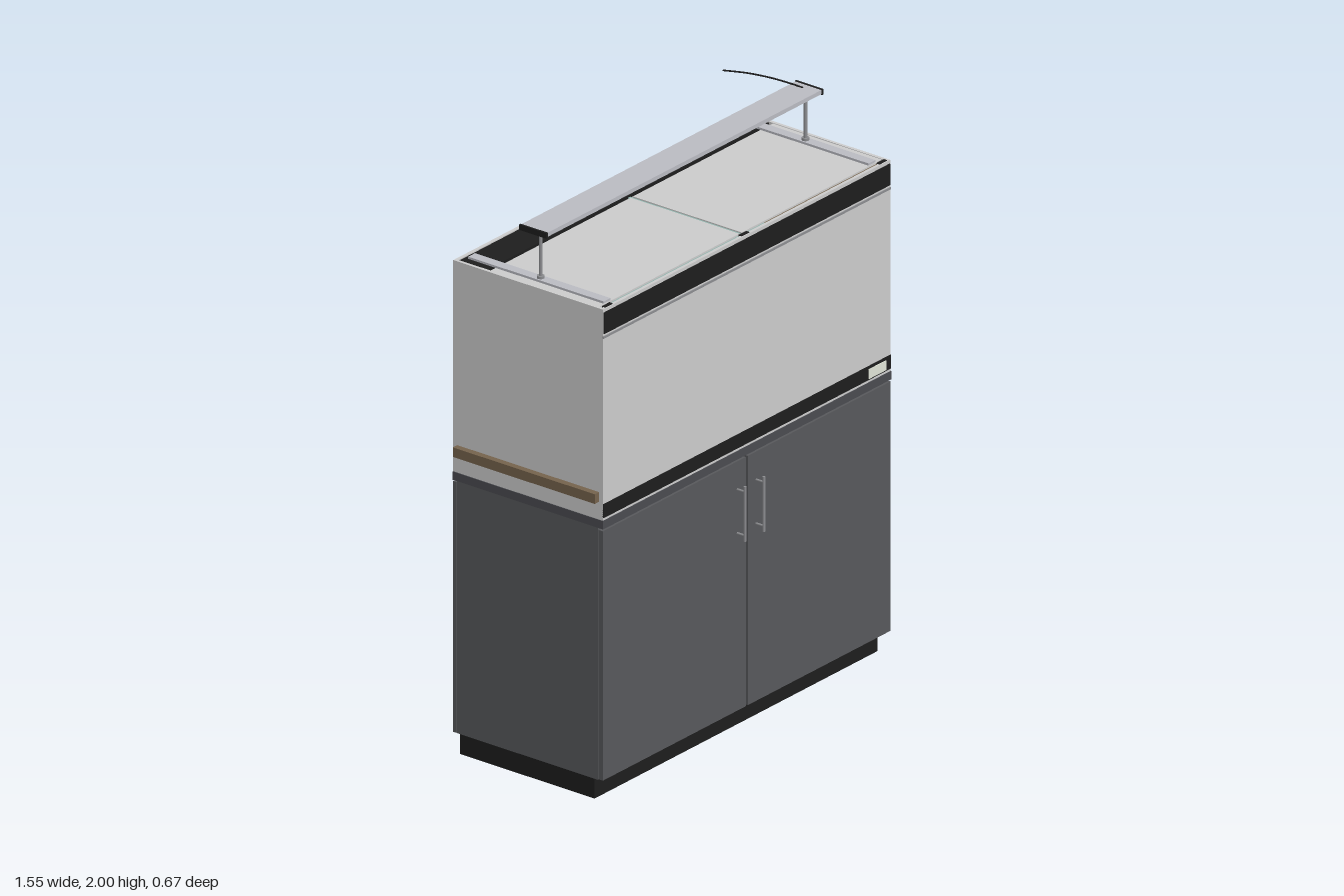
import * as THREE from 'three';

const mat = (color) => new THREE.MeshStandardMaterial({ color });
const M = {
  grey: mat(0xcccccc), cabinet: mat(0x57585b), edge: mat(0x4a4b50), black: mat(0x1d1d1d),
  metal: mat(0xbabbc2), steel: mat(0x8c8d90), wood: mat(0x75634c), seal: mat(0x8fb3ac),
  label: mat(0xdfe3d6), sand: mat(0xb9ad95),
};

export function createModel() {
  const root = new THREE.Group();

  // Box given by its limits on each axis
  const box = (name, m, x0, x1, y0, y1, z0, z1, parent = root) => {
    const mesh = new THREE.Mesh(new THREE.BoxGeometry(x1 - x0, y1 - y0, z1 - z0), m);
    mesh.position.set((x0 + x1) / 2, (y0 + y1) / 2, (z0 + z1) / 2);
    mesh.name = name;
    parent.add(mesh);
    return mesh;
  };
  const rod = (name, m, r, length, x, y, z, parent = root) => {
    const mesh = new THREE.Mesh(new THREE.CylinderGeometry(r, r, length, 12), m);
    mesh.position.set(x, y, z);
    mesh.name = name;
    parent.add(mesh);
    return mesh;
  };
  const group = (name) => {
    const g = new THREE.Group();
    g.name = name;
    root.add(g);
    return g;
  };

  // Cabinet with recessed plinth, two doors and a worktop
  const cabinet = group('cabinet');
  box('plinth', M.black, -0.745, 0.76, 0, 0.08, -0.315, 0.255, cabinet);
  box('carcass', M.cabinet, -0.758, 0.773, 0.08, 1.0, -0.318, 0.28, cabinet);
  box('backPanel', M.cabinet, -0.758, 0.773, 0.08, 0.995, -0.335, -0.321, cabinet);
  box('doorRight', M.cabinet, -0.758, 0.002, 0.083, 0.992, 0.283, 0.301, cabinet);
  box('doorLeft', M.cabinet, 0.013, 0.773, 0.083, 0.992, 0.283, 0.301, cabinet);
  box('doorGap', M.black, 0.002, 0.013, 0.083, 0.992, 0.279, 0.283, cabinet);
  box('worktop', M.edge, -0.76, 0.775, 1.0, 1.03, -0.336, 0.303, cabinet);

  // Bar handles on two standoffs
  for (const x of [-0.043, 0.057]) {
    const handle = group('handle');
    rod('handleBar', M.steel, 0.005, 0.2, x, 0.81, 0.334, handle);
    for (const y of [0.73, 0.89]) {
      rod('handleStandoff', M.steel, 0.004, 0.034, x, y, 0.317, handle).rotation.x = Math.PI / 2;
    }
  }

  // Tank: floor and four walls, open at the top
  const tank = group('tank');
  const t = 0.012, X0 = -0.757, X1 = 0.772, Z0 = -0.335, Z1 = 0.3;
  box('tankFloor', M.grey, X0, X1, 1.03, 1.045, Z0, Z1, tank);
  box('tankFront', M.grey, X0, X1, 1.045, 1.8, Z1 - t, Z1, tank);
  box('tankBack', M.grey, X0, X1, 1.045, 1.8, Z0, Z0 + t, tank);
  box('tankSideRight', M.grey, X0, X0 + t, 1.045, 1.8, Z0 + t, Z1 - t, tank);
  box('tankSideLeft', M.grey, X1 - t, X1, 1.045, 1.8, Z0 + t, Z1 - t, tank);
  box('sandBed', M.sand, X0 + t, X1 - t, 1.045, 1.09, Z0 + t, Z1 - t, tank);

  // Dark trim bands, narrow strip and display on the front
  box('upperBand', M.black, X0 + 0.004, X1 - 0.004, 1.71, 1.788, 0.299, 0.303);
  box('upperBandLip', M.steel, X0, X1, 1.694, 1.702, 0.299, 0.303);
  box('lowerBand', M.black, X0, X1, 1.04, 1.09, 0.299, 0.303);
  box('display', M.label, 0.652, 0.745, 1.045, 1.08, 0.302, 0.306);

  // Stones behind the cover gap
  const stones = group('stones');
  for (let i = 0; i < 7; i++) {
    const s = new THREE.Mesh(new THREE.DodecahedronGeometry(0.1, 0), M.steel);
    s.position.set(-0.6 + i * 0.21, 1.14, -0.14 + 0.05 * Math.sin(i * 2.3));
    s.scale.set(1, 0.9 + 0.5 * Math.abs(Math.sin(i * 1.7)), 0.8);
    s.rotation.y = i * 1.3;
    s.name = 'stone';
    stones.add(s);
  }

  // Rear strip, two cover panes, the bar between them and the front seal
  const cover = group('cover');
  box('rearStrip', M.black, X0 + t, X1 - t, 1.786, 1.796, Z0 + t, -0.205, cover);
  box('coverPaneRight', M.grey, X0 + t, 0.003, 1.79, 1.798, -0.188, 0.273, cover);
  box('coverPaneLeft', M.grey, 0.015, X1 - t, 1.79, 1.798, -0.188, 0.273, cover);
  box('centreBar', M.seal, 0.003, 0.015, 1.78, 1.794, -0.2, 0.285, cover);
  box('frontSeal', M.seal, X0 + t, 0.13, 1.782, 1.794, 0.276, 0.288, cover);
  box('frontSealBrown', M.wood, 0.13, X1 - t, 1.782, 1.794, 0.276, 0.288, cover);
  for (const x of [-0.72, 0.008, 0.74]) {
    box('coverClip', M.black, x - 0.02, x + 0.02, 1.79, 1.802, 0.282, 0.296, cover);
  }

  // Hanging lamp: rails, posts, bar with end caps
  const lamp = group('lamp');
  for (const x of [-0.697, 0.712]) {
    box('rail', M.metal, x - 0.018, x + 0.018, 1.798, 1.806, -0.305, 0.27, lamp);
    rod('postFoot', M.steel, 0.013, 0.01, x, 1.81, -0.012, lamp);
    rod('post', M.steel, 0.006, 0.17, x, 1.89, -0.012, lamp);
  }
  box('lampBar', M.metal, -0.722, 0.737, 1.977, 1.992, -0.075, 0.036, lamp);
  box('lampUnderside', M.black, -0.7, 0.715, 1.973, 1.977, -0.06, 0.02, lamp);
  for (const x of [-0.726, 0.741]) {
    box('lampEndCap', M.black, x - 0.004, x + 0.004, 1.974, 1.994, -0.077, 0.039, lamp);
  }

  // Power cable trailing off the back
  const path = new THREE.CatmullRomCurve3([
    [0.712, 1.993, -0.02], [0.707, 1.996, -0.08], [0.7, 1.997, -0.15],
    [0.69, 1.992, -0.24], [0.679, 1.979, -0.335],
  ].map((p) => new THREE.Vector3(...p)));
  const cable = new THREE.Mesh(new THREE.TubeGeometry(path, 24, 0.003, 8), M.black);
  cable.name = 'cable';
  lamp.add(cable);

  // Wooden strip along the right side
  box('sideStrip', M.wood, -0.78, -0.757, 1.095, 1.13, -0.318, 0.284);

  return root;
}
